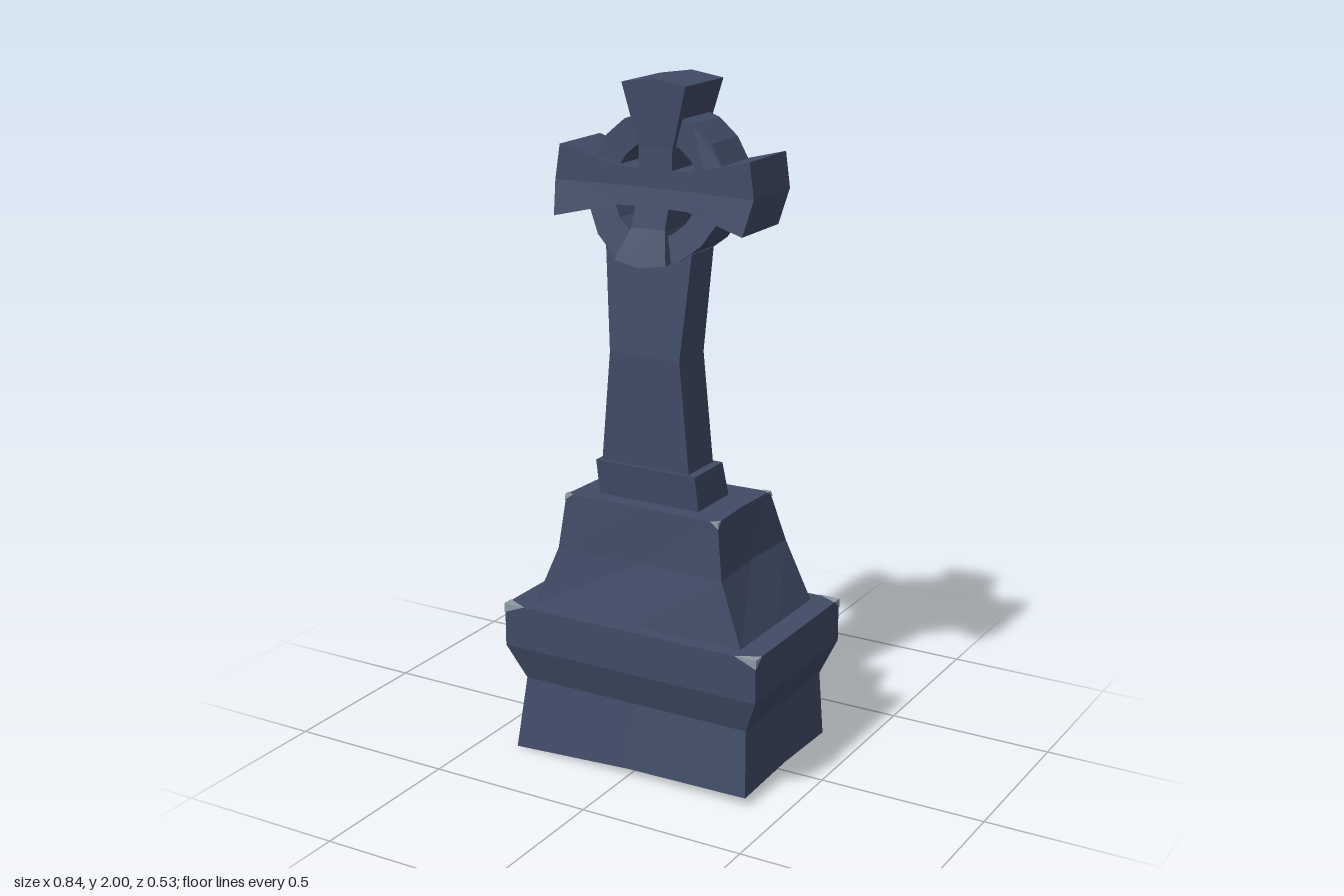
import * as THREE from 'three';

const stone = new THREE.MeshStandardMaterial({ color: 0x404b66 });
stone.name = 'slate stone';
const worn = new THREE.MeshStandardMaterial({ color: 0x8d9aa5, side: THREE.DoubleSide });
worn.name = 'worn pale stone';

// Ring of eight points (corners and side midpoints) for one cross-section.
// tilt raises the +x side, bow pulls midpoints inward, lift raises midpoints.
function ringOf({ y, x: [x0, x1], z: [z0, z1], tilt = 0, bow = 0, liftX = 0, liftZ = 0 }) {
  const xm = (x0 + x1) / 2, zm = (z0 + z1) / 2;
  const p = (x, z, l) => new THREE.Vector3(x, y + l + tilt * (x - x0) / (x1 - x0), z);
  return [
    p(x1, z1, 0), p(x1 - bow, zm, liftZ), p(x1, z0, 0), p(xm, z0 + bow, liftX),
    p(x0, z0, 0), p(x0 + bow, zm, liftZ), p(x0, z1, 0), p(xm, z1 - bow, liftX),
  ];
}

// Closed faceted solid through a stack of cross-sections.
function loft(sections) {
  const rings = sections.map(ringOf), pos = [];
  const tri = (...vs) => vs.forEach((v) => pos.push(v.x, v.y, v.z));
  for (let r = 0; r < rings.length - 1; r++) {
    for (let i = 0; i < 8; i++) {
      const j = (i + 1) % 8, lo = rings[r], hi = rings[r + 1];
      tri(lo[i], lo[j], hi[j]);
      tri(lo[i], hi[j], hi[i]);
    }
  }
  const first = rings[0], last = rings[rings.length - 1];
  const mid = (ring) => ring[3].clone().add(ring[7]).multiplyScalar(0.5);
  const c0 = mid(first), c1 = mid(last);
  for (let i = 0; i < 8; i++) {
    const j = (i + 1) % 8;
    tri(c0, first[j], first[i]);
    tri(c1, last[i], last[j]);
  }
  const g = new THREE.BufferGeometry();
  g.setAttribute('position', new THREE.Float32BufferAttribute(pos, 3));
  g.computeVertexNormals();
  return g;
}

// Lean the lower part of the cross forward and slightly sideways.
function lean(geometry) {
  const g = geometry.index ? geometry.toNonIndexed() : geometry;
  const p = g.attributes.position;
  for (let i = 0; i < p.count; i++) {
    const d = 1.7 - p.getY(i);
    p.setZ(i, p.getZ(i) + (d > 0 ? 0.005 + d * 0.18 : 0.005 + d * 0.02));
    if (d > 0) p.setX(i, p.getX(i) - d * 0.1);
  }
  g.computeVertexNormals();
  return g;
}

// Thin pale chips on the four top corners of a block.
function cornerChips(lower, upper, lx, ly, lz) {
  const lo = ringOf(lower), hi = ringOf(upper), pos = [];
  [0, 2, 4, 6].forEach((i) => {
    const sx = Math.sign(hi[i].x), sz = hi[i].z > 0 ? 1 : -1;
    const c = hi[i].clone().add(new THREE.Vector3(sx * 0.002, 0.002, sz * 0.002));
    const down = lo[i].clone().sub(hi[i]).setLength(ly).add(c);
    const alongX = c.clone().add(new THREE.Vector3(-sx * lx, 0, 0));
    const alongZ = c.clone().add(new THREE.Vector3(0, 0, -sz * lz));
    for (const t of [[c, alongX, down], [c, alongZ, down], [c, alongX, alongZ]]) {
      // keep each chip facing outward
      const n = t[1].clone().sub(t[0]).cross(t[2].clone().sub(t[0]));
      if (n.dot(new THREE.Vector3(sx, 1, sz)) < 0) t.reverse();
      t.forEach((v) => pos.push(v.x, v.y, v.z));
    }
  });
  const g = new THREE.BufferGeometry();
  g.setAttribute('position', new THREE.Float32BufferAttribute(pos, 3));
  g.computeVertexNormals();
  return g;
}

export function createModel() {
  const model = new THREE.Group();
  model.name = 'stoneCross';
  const add = (name, geometry, material = stone) => {
    const m = new THREE.Mesh(geometry, material);
    m.name = name;
    model.add(m);
  };

  // Stepped foot with an overhanging band
  const foot = [
    { y: 0.002, x: [-0.387, 0.385], z: [-0.235, 0.257], tilt: 0.026, liftX: 0.008, liftZ: 0.008 },
    { y: 0.22, x: [-0.365, 0.37], z: [-0.235, 0.23] },
    { y: 0.325, x: [-0.417, 0.415], z: [-0.262, 0.26] },
    { y: 0.455, x: [-0.417, 0.415], z: [-0.262, 0.26] },
  ];
  add('foot', loft(foot));
  add('footWornCorners', cornerChips(foot[2], foot[3], 0.07, 0.028, 0.035), worn);

  // Tapered plinth
  const plinth = [
    { y: 0.45, x: [-0.345, 0.345], z: [-0.22, 0.215] },
    { y: 0.635, x: [-0.272, 0.268], z: [-0.2, 0.19], bow: 0.012 },
    { y: 0.8, x: [-0.25, 0.247], z: [-0.135, 0.178], bow: 0.008 },
  ];
  add('plinth', loft(plinth));
  add('plinthWornCorners', cornerChips(plinth[1], plinth[2], 0.025, 0.02, 0.02), worn);

  // Collar under the shaft
  add('collar', loft([
    { y: 0.795, x: [-0.17, 0.155], z: [-0.055, 0.122] },
    { y: 0.905, x: [-0.175, 0.15], z: [-0.025, 0.135] },
  ]));

  // Waisted shaft
  add('shaft', loft([
    { y: 0.9, x: [-0.16, 0.125], z: [-0.015, 0.125] },
    { y: 1.23, x: [-0.13, 0.095], z: [-0.01, 0.127] },
    { y: 1.53, x: [-0.155, 0.12], z: [-0.02, 0.102] },
  ]));

  // Ring behind the arms
  const disc = new THREE.Shape().absarc(0, 0, 0.215, 0, Math.PI * 2, false);
  disc.holes.push(new THREE.Path().absarc(0, 0, 0.135, 0, Math.PI * 2, true));
  const ring = new THREE.ExtrudeGeometry(disc, { depth: 0.15, bevelEnabled: false, curveSegments: 9 });
  add('ring', lean(ring.translate(0, 1.695, -0.075)));

  // Four flared arms with pointed ends
  const arms = [
    ['topArm', 0, 0.285, 0.1],
    ['rightArm', 1, 0.3, 0.1],
    ['bottomArm', 2, 0.2, 0.082],
    ['leftArm', 3, 0.298, 0.1],
  ];
  for (const [name, turns, length, w] of arms) {
    const arm = loft([
      { y: 0, x: [-0.052, 0.052], z: [-0.09, 0.09] },
      { y: 0.11, x: [-0.053, 0.053], z: [-0.09, 0.09] },
      { y: length, x: [-w, w], z: [-0.105, 0.105], liftX: 0.015 },
    ]);
    add(name, lean(arm.rotateZ(turns * Math.PI / 2).translate(0, 1.7, 0)));
  }
  return model;
}
